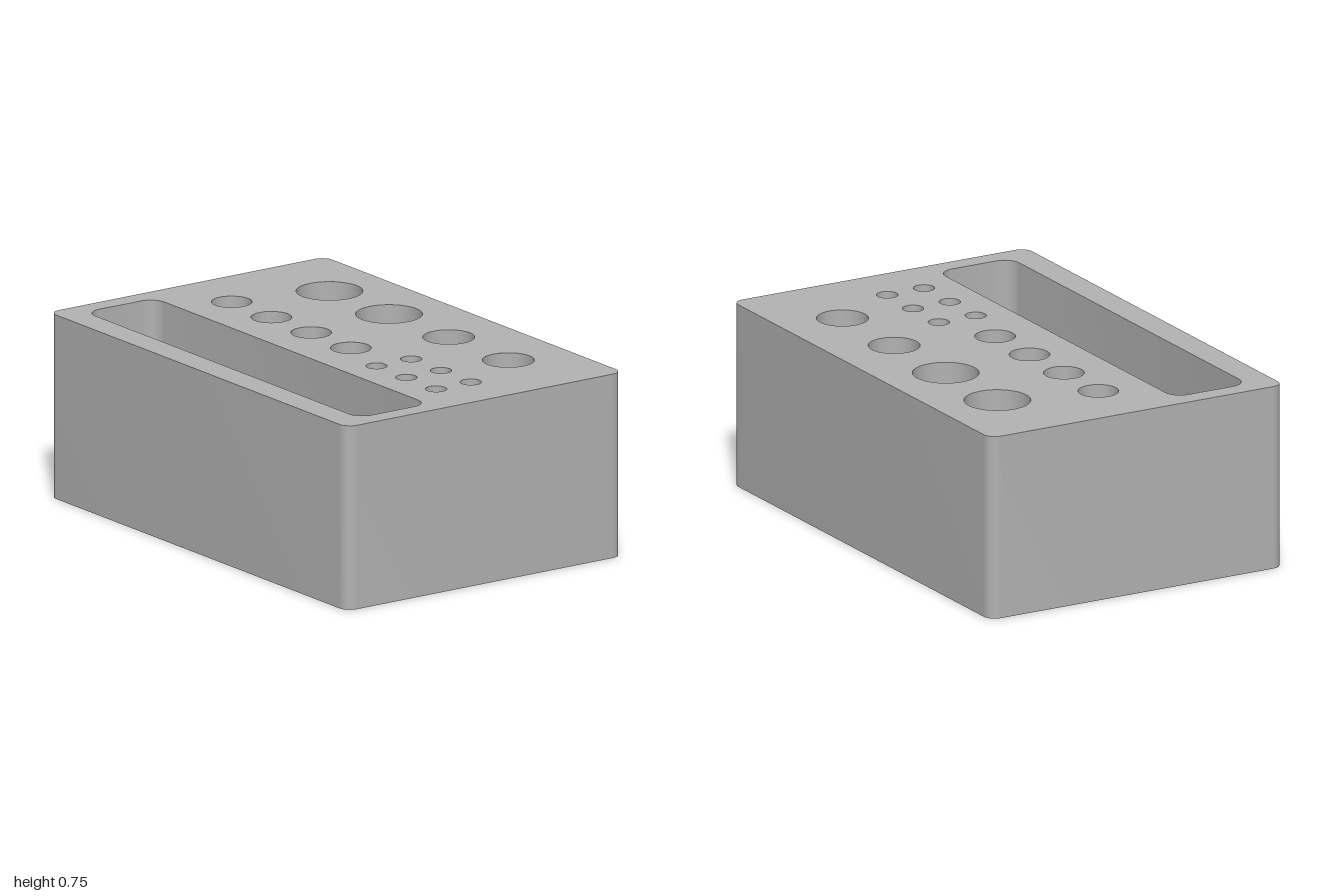
import * as THREE from 'three';
import { toCreasedNormals } from 'three/addons/utils/BufferGeometryUtils.js';

const W = 2, D = 1.334, H = 0.75;   // block size
const FLOOR = 0.167;                // pocket floor height
const SEG = 24;                     // curve segments per half turn

// Rounded rectangle centred on (cx, cy)
function roundedRect(w, h, r, cx = 0, cy = 0) {
  const s = new THREE.Shape(), x = w / 2 - r, y = h / 2 - r;
  s.absarc(cx + x, cy + y, r, 0, Math.PI / 2);
  s.absarc(cx - x, cy + y, r, Math.PI / 2, Math.PI);
  s.absarc(cx - x, cy - y, r, Math.PI, Math.PI * 1.5);
  s.absarc(cx + x, cy - y, r, Math.PI * 1.5, Math.PI * 2);
  s.closePath();
  return s;
}

// Upright side wall along an outline, without caps
function wall(shape, height) {
  const g = new THREE.ExtrudeGeometry(shape, { depth: height, bevelEnabled: false, curveSegments: 12 });
  const { start, count } = g.groups[1];
  const out = new THREE.BufferGeometry();
  const pos = g.attributes.position.array.slice(start * 3, (start + count) * 3);
  out.setAttribute('position', new THREE.BufferAttribute(pos, 3));
  return out.rotateX(-Math.PI / 2);
}

export function createModel() {
  const model = new THREE.Group();
  model.name = 'toolHolder';
  const grey = new THREE.MeshStandardMaterial({ color: 0xb2b2b2 });
  grey.name = 'grey';

  const add = (name, geometry, x = 0, y = 0, z = 0) => {
    const mesh = new THREE.Mesh(geometry, grey);
    mesh.name = name;
    mesh.position.set(x, y, z);
    model.add(mesh);
  };

  // Round pockets: centre, radius and optional narrower lower bore
  const pockets = [];
  for (const [x, r] of [[-0.6, 0.131], [-0.2, 0.131], [0.2, 0.102], [0.6, 0.102]])
    pockets.push({ name: 'largeHole', x, z: -0.4, r });
  for (let i = 0; i < 4; i++)
    pockets.push({ name: 'steppedHole', x: -0.7 + i * 0.2667, z: 0, r: 0.08, inner: 0.048 });
  for (const z of [-0.1, 0.067])
    for (const x of [0.365, 0.565, 0.765])
      pockets.push({ name: 'smallHole', x, z, r: 0.042 });

  const slot = { w: 1.834, d: 0.334, r: 0.067, z: 0.383 };

  // Outer block: side wall, underside and pierced top
  const outline = roundedRect(W, D, 0.05);
  add('blockSides', toCreasedNormals(wall(outline, H), 0.6));
  add('blockUnderside', new THREE.ShapeGeometry(outline, 12).rotateX(Math.PI / 2));

  const top = roundedRect(W, D, 0.05);
  for (const { x, z, r } of pockets)
    top.holes.push(new THREE.Path().absarc(x, -z, r, 0, Math.PI * 2, true));
  top.holes.push(roundedRect(slot.w, slot.d, slot.r, 0, -slot.z));
  add('blockTop', new THREE.ShapeGeometry(top, SEG).rotateX(-Math.PI / 2), 0, H, 0);

  // Long tray: mirrored wall faces inward
  const tray = roundedRect(slot.w, slot.d, slot.r);
  const trayWall = wall(tray, H - FLOOR).scale(-1, 1, 1);
  add('trayWall', toCreasedNormals(trayWall, 0.6), 0, FLOOR, slot.z);
  add('trayFloor', new THREE.ShapeGeometry(tray, 12).rotateX(-Math.PI / 2), 0, FLOOR, slot.z);

  // Round pockets, profile runs from rim down to centre
  for (const { name, x, z, r, inner } of pockets) {
    const profile = [[r, H]];
    if (inner) profile.push([r, 0.4], [inner, 0.4], [inner, FLOOR]);
    else profile.push([r, FLOOR]);
    profile.push([0, FLOOR]);
    const lathe = new THREE.LatheGeometry(profile.map(p => new THREE.Vector2(...p)), SEG * 2);
    add(name, toCreasedNormals(lathe, 0.6), x, 0, z);
  }
  return model;
}
